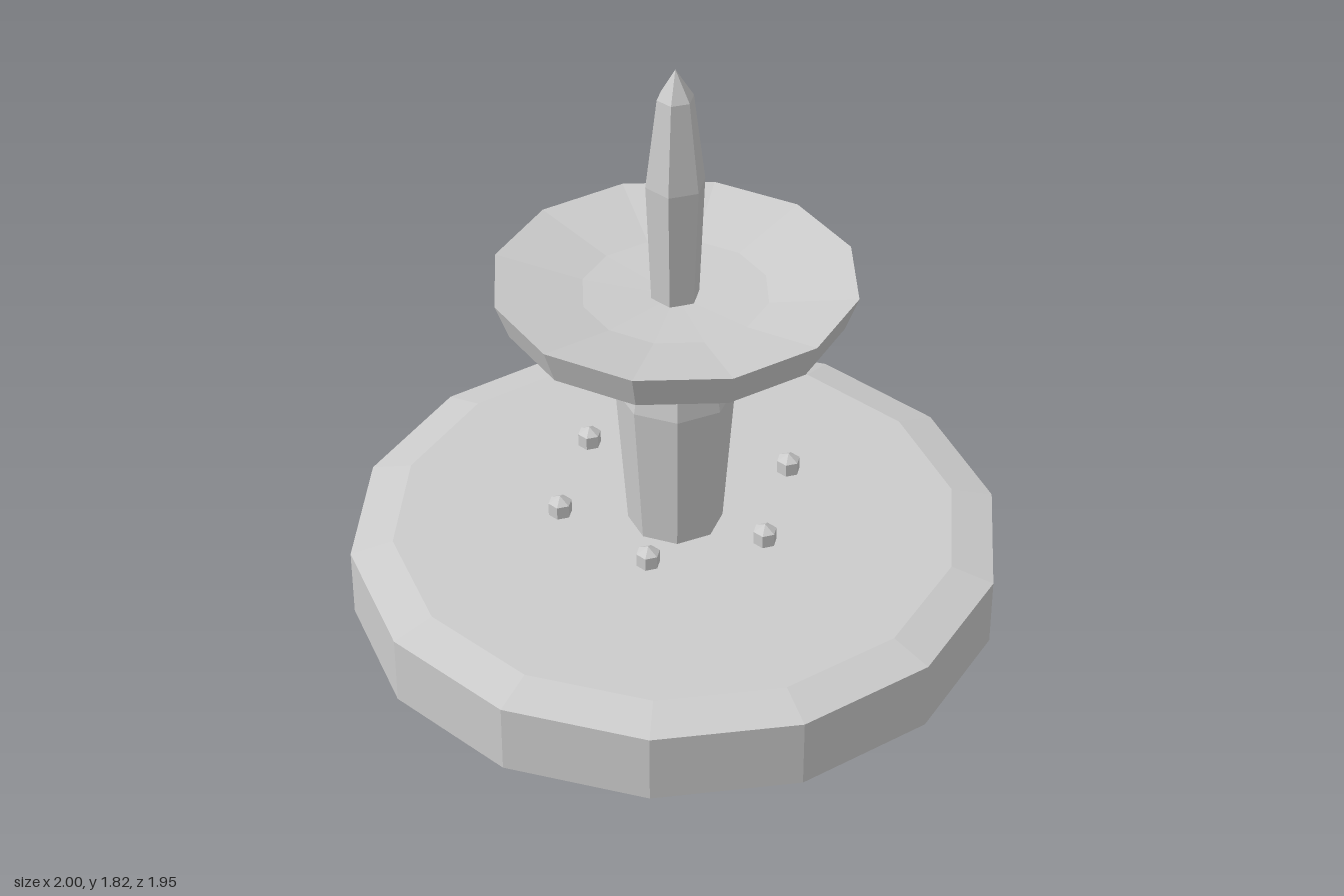
import * as THREE from 'three';

const stone = new THREE.MeshStandardMaterial({ color: 0xcccccc, flatShading: true });
stone.name = 'grey stone';

// Faceted solid turned around y, with a corner on the +x axis.
// The profile of [radius, height] runs from the bottom up.
function turned(name, sides, profile) {
  const points = profile.map(([r, y]) => new THREE.Vector2(r, y));
  const geometry = new THREE.LatheGeometry(points, sides).rotateY(Math.PI / 2).toNonIndexed();
  geometry.computeVertexNormals();
  const mesh = new THREE.Mesh(geometry, stone);
  mesh.name = name;
  return mesh;
}

export function createModel() {
  const fountain = new THREE.Group();
  fountain.name = 'fountain';

  // Wide plinth with a sloped edge
  fountain.add(turned('base', 14, [[0, 0], [1, 0], [1, 0.22], [0.87, 0.255], [0, 0.255]]));

  // Bulging pillar
  fountain.add(turned('column', 8, [[0, 0.25], [0.145, 0.25], [0.18, 0.73], [0.14, 0.945], [0, 0.945]]));

  // Shallow dish, hollow on top
  fountain.add(turned('bowl', 12, [
    [0, 0.94], [0.14, 0.94], [0.505, 1.02], [0.545, 1.13], [0.28, 1.08], [0, 1.065],
  ]));

  // Pointed spout
  fountain.add(turned('spire', 6, [[0, 1.05], [0.073, 1.05], [0.09, 1.45], [0.055, 1.73], [0, 1.82]]));

  // Ring of droplets floating around the column
  const droplets = new THREE.Group();
  droplets.name = 'droplets';
  const dropGeometry = new THREE.SphereGeometry(0.042, 6, 3);
  for (let i = 0; i < 6; i++) {
    const angle = (i * Math.PI) / 3;
    const drop = new THREE.Mesh(dropGeometry, stone);
    drop.name = 'droplet';
    drop.position.set(0.365 * Math.cos(angle), 0.368, 0.365 * Math.sin(angle));
    droplets.add(drop);
  }
  fountain.add(droplets);

  return fountain;
}
